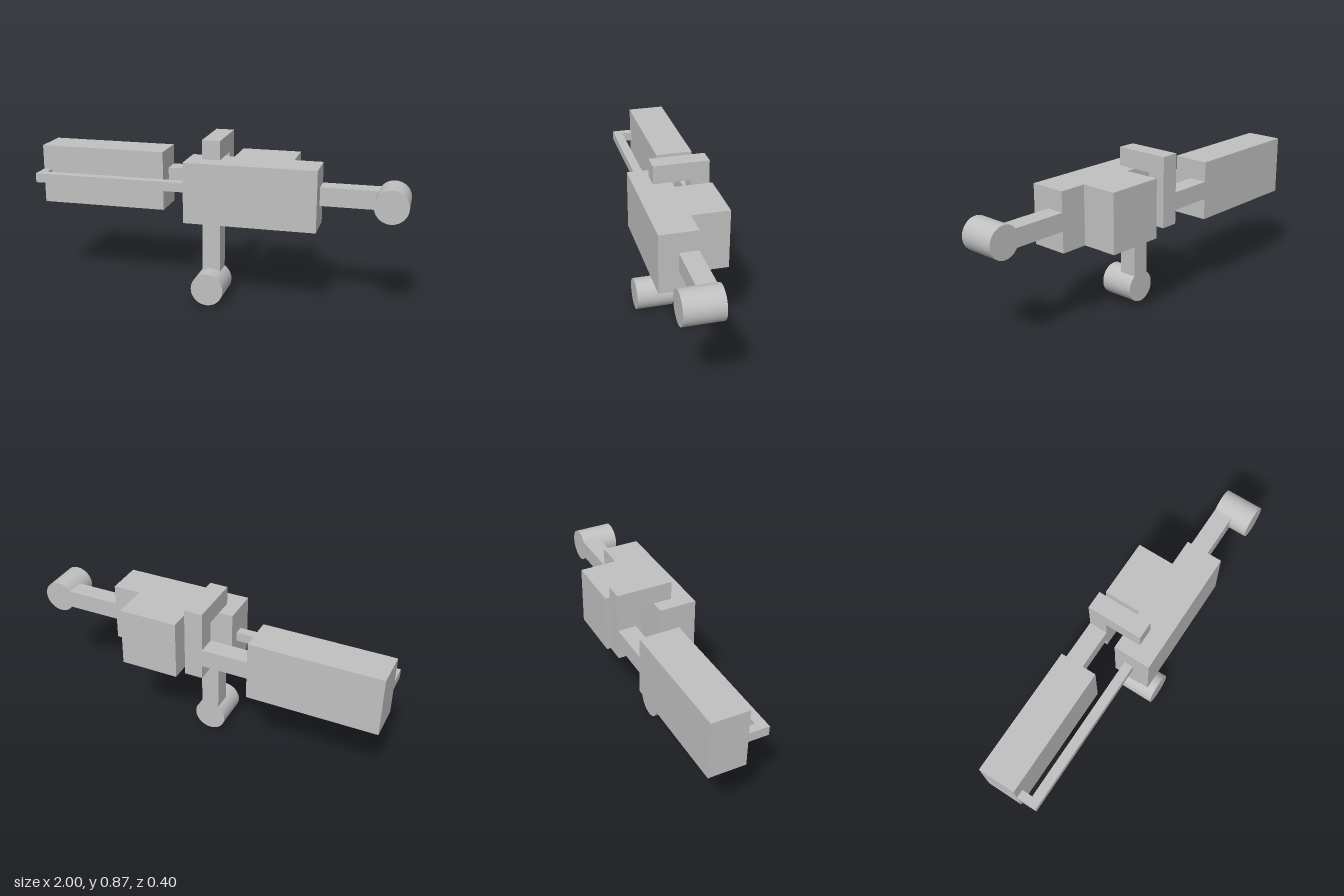
import * as THREE from 'three';

export function createModel() {
  const model = new THREE.Group();
  model.name = 'mechanism';
  const grey = new THREE.MeshStandardMaterial({ color: 0xc0c0c0 });
  grey.name = 'plain grey';

  // Box given by its limits along each axis
  function box(name, [x0, x1], [y0, y1], [z0, z1]) {
    const mesh = new THREE.Mesh(new THREE.BoxGeometry(x1 - x0, y1 - y0, z1 - z0), grey);
    mesh.name = name;
    mesh.position.set((x0 + x1) / 2, (y0 + y1) / 2, (z0 + z1) / 2);
    model.add(mesh);
  }

  // Round knob lying along z
  function knob(name, x, y) {
    const geometry = new THREE.CylinderGeometry(0.086, 0.086, 0.2, 64).rotateX(Math.PI / 2);
    const mesh = new THREE.Mesh(geometry, grey);
    mesh.name = name;
    mesh.position.set(x, y, 0.1);
    model.add(mesh);
  }

  const blockY = [0.445, 0.765];
  const armY = [0.56, 0.657];
  const postX = [-0.065, 0.032];
  const railY = [0.582, 0.632];

  // Large blocks
  box('mainBlock', [-0.14, 0.55], blockY, [0, 0.2]);
  box('rearBlock', [0.085, 0.4], blockY, [-0.2, 0]);
  box('sideBlock', [-1, -0.31], blockY, [-0.2, 0]);

  // Thin rail with a tab bent back to the side block
  box('rail', [-1, -0.14], railY, [0.058, 0.108]);
  box('railTab', [-1, -0.955], railY, [0, 0.058]);

  // Hook over the main block, joined to the side block
  box('hookTop', postX, [0.765, 0.865], [-0.2, 0.1]);
  box('hookPost', postX, [0.485, 0.765], [-0.2, -0.1]);
  box('connector', [-0.31, -0.065], armY, [-0.2, -0.1]);

  // Arm and leg ending in knobs
  box('arm', [0.55, 0.86], armY, [0, 0.1]);
  knob('armKnob', 0.914, 0.606);
  box('leg', postX, [0.13, 0.445], [0, 0.1]);
  knob('legKnob', -0.016, 0.086);

  return model;
}
